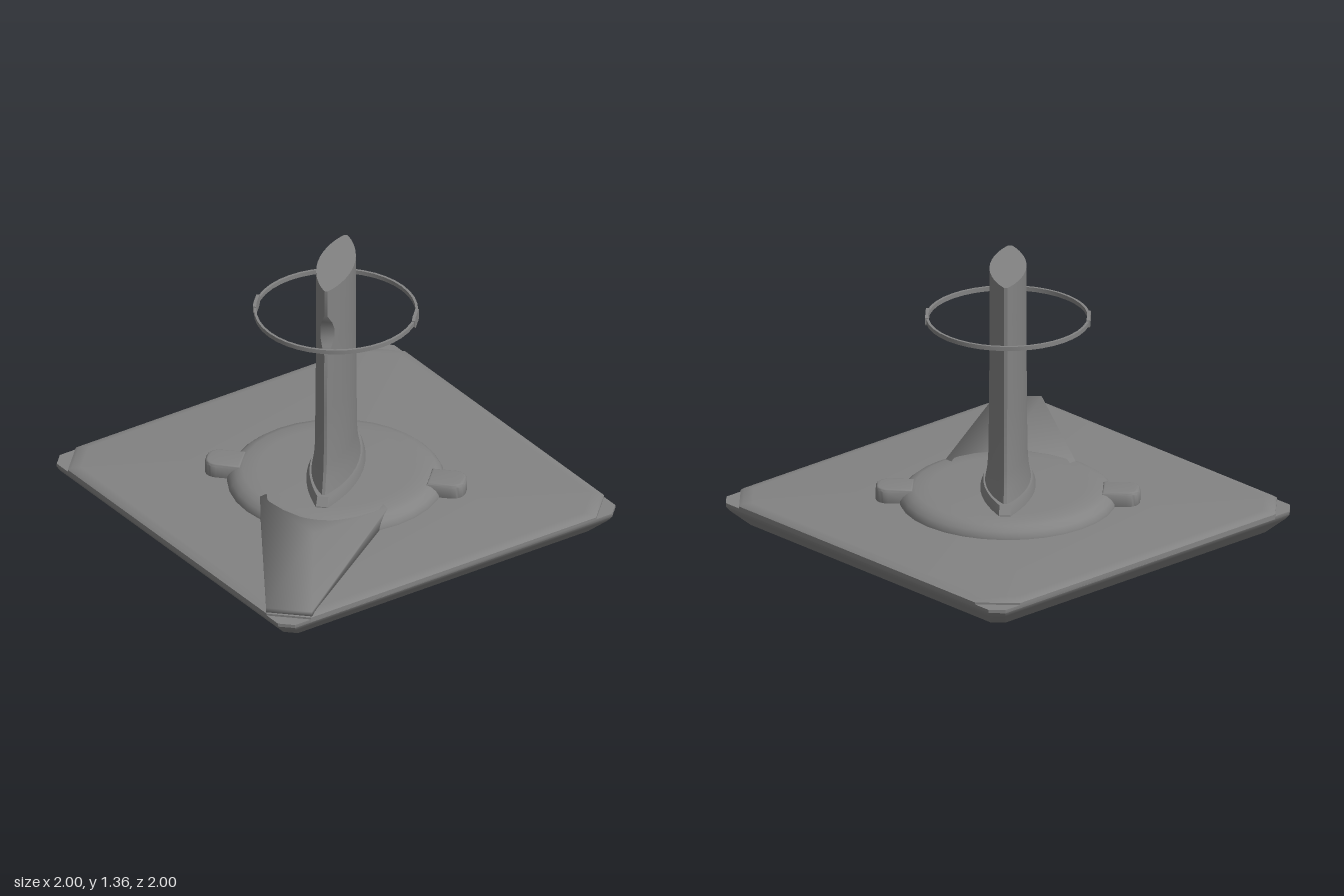
import * as THREE from 'three';
import { toCreasedNormals } from 'three/addons/utils/BufferGeometryUtils.js';

const material = new THREE.MeshStandardMaterial({ color: 0x838383 });

function part(name, geometry, parent) {
  const mesh = new THREE.Mesh(geometry, material);
  mesh.name = name;
  parent.add(mesh);
}

// Closed solid through stacked rings of [x, y, z], each counter-clockwise from above
function loft(rings, crease = 0.6) {
  const n = rings[0].length, pos = rings.flat(2), index = [];
  for (let r = 0; r < rings.length - 1; r++) {
    for (let i = 0; i < n; i++) {
      const a = r * n + i, b = r * n + (i + 1) % n;
      index.push(a, b, b + n, a, b + n, a + n);
    }
  }
  [0, rings.length - 1].forEach((r) => {
    const centre = pos.length / 3;
    for (let k = 0; k < 3; k++) pos.push(rings[r].reduce((s, p) => s + p[k], 0) / n);
    for (let i = 0; i < n; i++) {
      const a = r * n + i, b = r * n + (i + 1) % n;
      if (r === 0) index.push(centre, b, a);
      else index.push(centre, a, b);
    }
  });
  const g = new THREE.BufferGeometry();
  g.setAttribute('position', new THREE.Float32BufferAttribute(pos, 3));
  g.setIndex(index);
  return toCreasedNormals(g, crease);
}

// Round part from a profile of [radius, height]
function turned(profile, segments, crease) {
  const points = profile.map(([x, y]) => new THREE.Vector2(x, y));
  return toCreasedNormals(new THREE.LatheGeometry(points, segments), crease);
}

// Square of half-width h with its corners cut by c
function cutSquare(h, c, y) {
  const k = h - c;
  return [[h, k], [k, h], [-k, h], [-h, k], [-h, -k], [-k, -h], [k, -h], [h, -k]]
    .map(([x, z]) => [x, y, -z]);
}

// Pointed oval: half-length a, half-width b, trimmed at left and right
function lens(y, a, b, left, right, power = 1) {
  const steps = 18, ring = [];
  for (const side of [1, -1]) {
    for (let i = 0; i <= steps; i++) {
      const t = (1 - side * Math.cos(Math.PI * i / steps)) / 2;
      const u = left + (right - left) * t;
      ring.push([u, y, side * b * (1 - (u / a) ** 2) ** power]);
    }
  }
  return ring;
}

export function createModel() {
  const model = new THREE.Group();
  model.name = 'pillarOnBase';

  // Base slab and its top plate with wider cut corners
  part('baseSlab', loft([
    cutSquare(0.91, 0.05, 0), cutSquare(0.985, 0.058, 0.075),
    cutSquare(1, 0.06, 0.098), cutSquare(1, 0.06, 0.115),
  ], 0.65), model);
  part('topPlate', loft([
    cutSquare(1, 0.155, 0.1), cutSquare(1, 0.155, 0.125),
    cutSquare(0.985, 0.15, 0.136), cutSquare(0.95, 0.145, 0.14),
  ], 0.75), model);

  // Low round mound
  part('mound', turned([
    [0.53, 0.13], [0.53, 0.152], [0.515, 0.175], [0.49, 0.196], [0.455, 0.207], [0.38, 0.211], [0, 0.212],
  ], 32, 0.8), model);

  // Everything below lies along the diagonal of the base
  const diagonal = new THREE.Group();
  diagonal.name = 'diagonalParts';
  diagonal.rotation.y = Math.PI / 4;
  model.add(diagonal);

  // Ramp from the corner up to the mound, sinking into its top
  const ramp = (outer, mid, inner) => [
    [-1.3, outer, -0.113], [-1.3, outer, 0.113], [-0.34, mid, 0.315],
    [-0.2, inner, 0.2], [-0.2, inner, -0.2], [-0.34, mid, -0.315],
  ];
  part('ramp', loft([ramp(0.13, 0.13, 0.13), ramp(0.155, 0.209, 0.208)], 1.7), diagonal);

  // Collar under the pillar
  part('collar', loft([
    lens(0.2, 0.445, 0.135, -0.395, 0.395),
    lens(0.215, 0.445, 0.135, -0.395, 0.395),
    lens(0.255, 0.415, 0.12, -0.365, 0.365),
  ]), diagonal);

  // Pillar: [height, half-width, left end, right end], with a notch in the left edge
  const levels = [
    [0.25, 0.112, 0.35, 0.35], [0.32, 0.1, 0.323, 0.323], [0.4, 0.095, 0.298, 0.298],
    [0.7, 0.092, 0.289, 0.289], [1.0, 0.09, 0.282, 0.282], [1.04, 0.09, 0.257, 0.281],
    [1.08, 0.09, 0.236, 0.281], [1.13, 0.09, 0.236, 0.279], [1.17, 0.09, 0.25, 0.279],
    [1.22, 0.09, 0.278, 0.278], [1.36, 0.09, 0.276, 0.276],
  ];
  part('pillar', loft(levels.map(([y, b, l, r]) => lens(y, r + 0.008, b, -l, r, 0.85)), 0.8), diagonal);

  // Floating flat ring
  part('ring', turned([
    [0.387, 1.079], [0.4, 1.079], [0.4, 1.101], [0.387, 1.101], [0.387, 1.079],
  ], 40, 0.6), diagonal);

  // Rounded knob outline, round end outwards
  const outline = new THREE.Shape();
  outline.moveTo(-0.066, 0);
  outline.lineTo(0.066, 0);
  outline.lineTo(0.066, 0.105);
  outline.quadraticCurveTo(0.064, 0.148, 0.02, 0.155);
  outline.lineTo(-0.02, 0.155);
  outline.quadraticCurveTo(-0.064, 0.148, -0.066, 0.105);
  outline.closePath();
  const knobGeometry = toCreasedNormals(new THREE.ExtrudeGeometry(outline, {
    depth: 0.07, bevelEnabled: true, bevelSize: 0.014, bevelThickness: 0.014, bevelSegments: 4, curveSegments: 8,
  }), 0.9);
  knobGeometry.rotateX(Math.PI / 2);
  knobGeometry.translate(0, 0.197, 0.474);

  // A knob on the mound and a clip on the ring, on both broad sides
  ['front', 'back'].forEach((name, i) => {
    const side = new THREE.Group();
    side.name = name + 'Fittings';
    side.rotation.y = i * Math.PI;
    diagonal.add(side);
    part(name + 'Knob', knobGeometry, side);
    const clip = [[0.04, 1.06], [0.056, 1.073], [0.056, 1.107], [0.04, 1.12]]
      .map(([w, y]) => [[w, y, 0.401], [w, y, 0.385], [-w, y, 0.385], [-w, y, 0.401]]);
    part(name + 'Clip', loft(clip), side);
  });

  return model;
}
